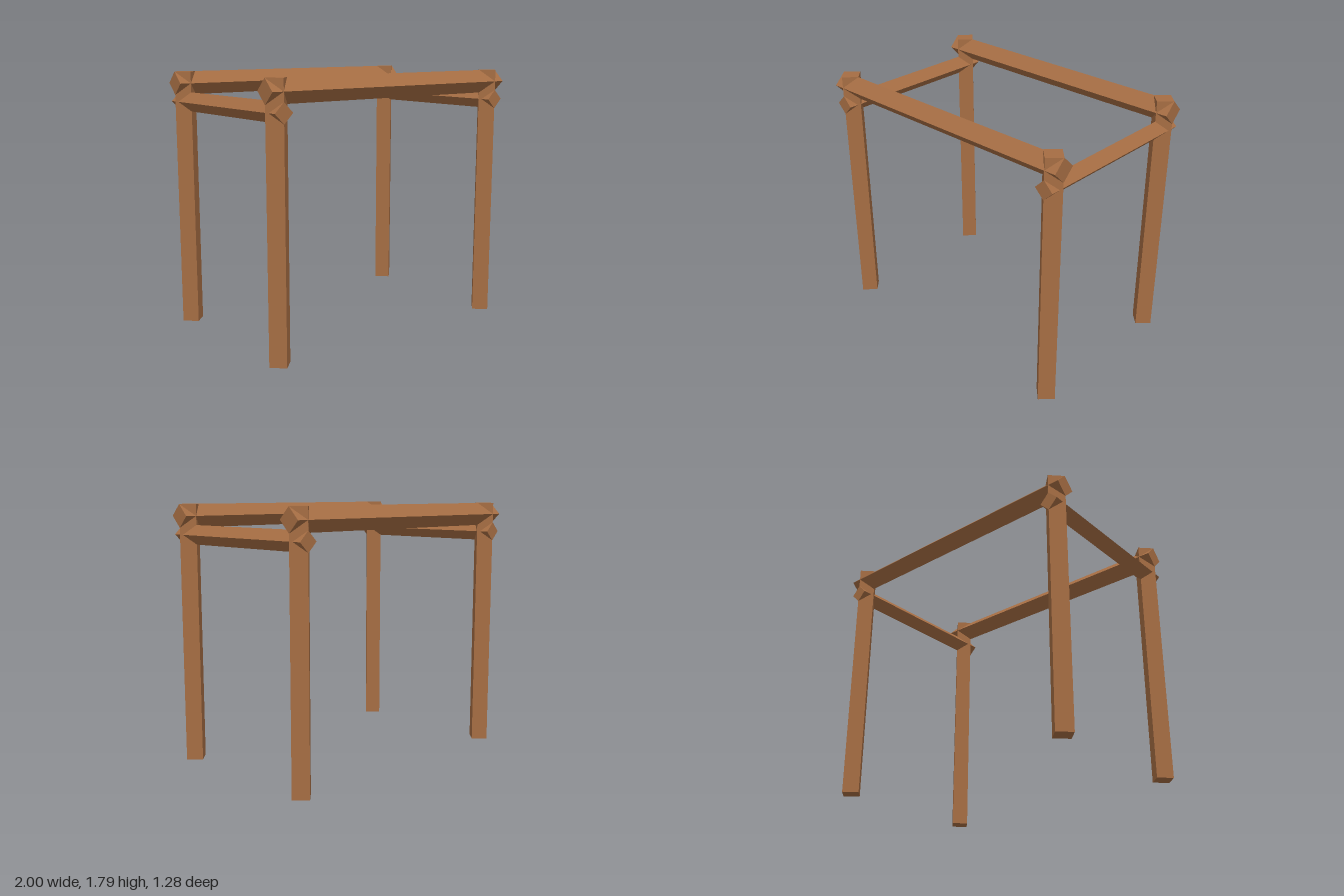
import * as THREE from 'three';

export function createModel() {
  const group = new THREE.Group();
  const wood = new THREE.MeshStandardMaterial({ color: 0xa56d43 });
  wood.name = 'wood';

  // Square timber turned on edge, so its section is a diamond
  function timber(name, radius, length, axis, x, y, z) {
    const geometry = new THREE.CylinderGeometry(radius, radius, length, 4).toNonIndexed();
    if (axis === 'x') geometry.rotateZ(Math.PI / 2);
    if (axis === 'z') geometry.rotateX(Math.PI / 2);
    geometry.computeVertexNormals();
    const mesh = new THREE.Mesh(geometry, wood);
    mesh.name = name;
    mesh.position.set(x, y, z);
    group.add(mesh);
  }

  const postX = 0.92, postZ = 0.56, height = 1.79, r = 0.08;

  for (const [sideX, sx] of [['left', 1], ['right', -1]]) {
    // Corner posts
    for (const [sideZ, sz] of [['Front', 1], ['Back', -1]]) {
      timber(`${sideX}${sideZ}Post`, r, height, 'y', sx * postX, height / 2, sz * postZ);
    }
    // Thinner side rails, set below the long beams
    timber(`${sideX}SideRail`, 0.066, 1.28, 'z', sx * postX, 1.583, 0);
  }

  // Long beams, flush with the post tops
  for (const [name, sz] of [['frontBeam', 1], ['backBeam', -1]]) {
    timber(name, r, 2, 'x', 0, height - r, sz * postZ);
  }

  return group;
}
